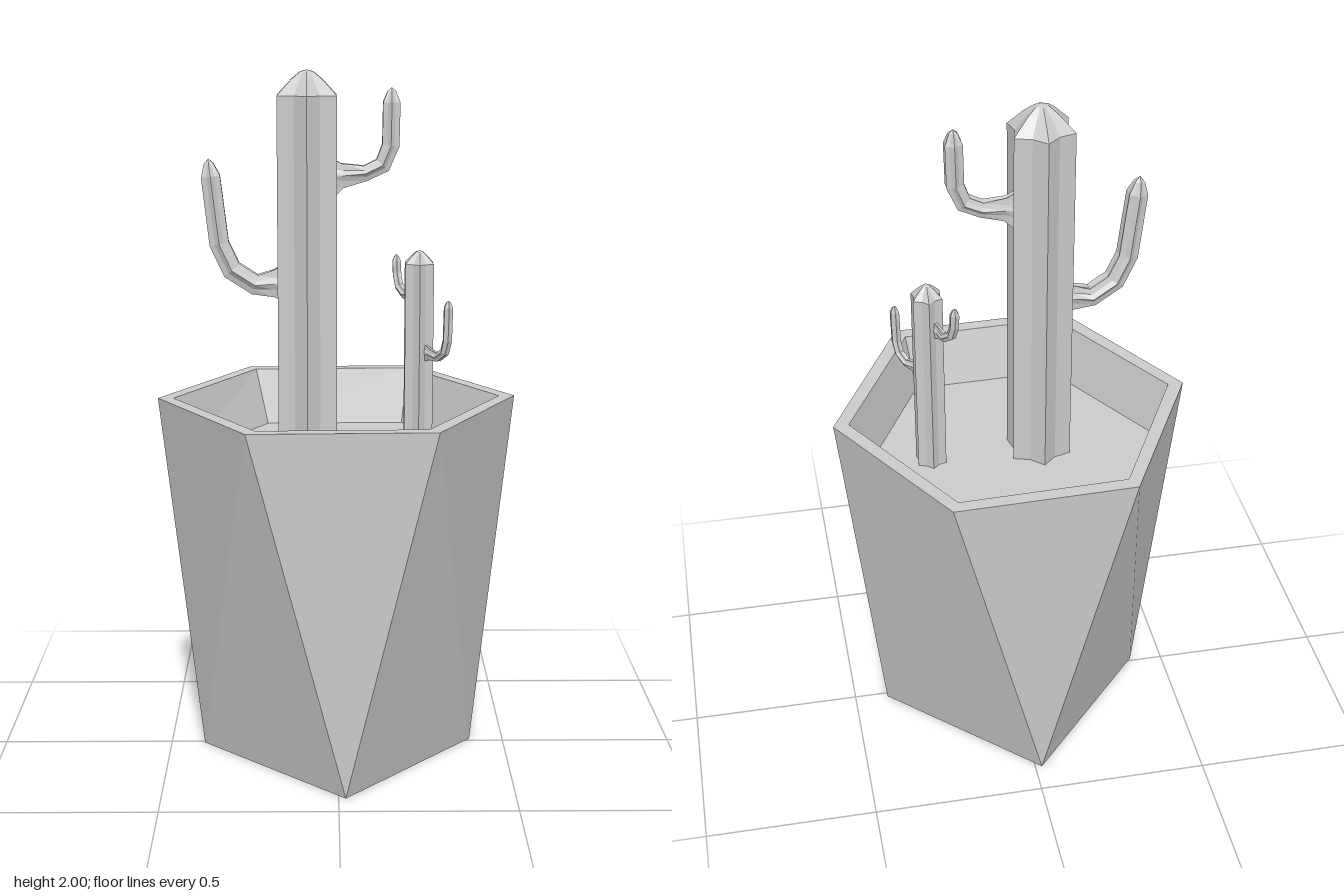
import * as THREE from 'three';

const material = new THREE.MeshStandardMaterial({ color: 0xcccccc, flatShading: true });

// Mesh from a list of triangle corners (Vector3)
function facetMesh(name, corners) {
  const geometry = new THREE.BufferGeometry().setFromPoints(corners);
  geometry.computeVertexNormals();
  const mesh = new THREE.Mesh(geometry, material);
  mesh.name = name;
  return mesh;
}

const quad = (a, b, c, d) => [a, b, c, a, c, d];
const ring = (points, y) => points.map(([x, z]) => new THREE.Vector3(x, y, z));

// Six-ribbed stem swept along a path in a vertical plane.
// Each station is [outward, height, sideways radius, in-plane radius].
function ribbedStem(name, x, z, heading, stations, valley = 0.75) {
  const out = new THREE.Vector3(Math.cos(heading), 0, Math.sin(heading));
  const side = new THREE.Vector3(-Math.sin(heading), 0, Math.cos(heading));
  const centres = stations.map(([u, y]) => new THREE.Vector3(x, y, z).addScaledVector(out, u));
  const rings = stations.map(([, , rs, rn = rs], i) => {
    const tangent = centres[Math.min(i + 1, centres.length - 1)].clone()
      .sub(centres[Math.max(i - 1, 0)]).normalize();
    const normal = tangent.cross(side);
    return Array.from({ length: 12 }, (_, k) => {
      const a = k * Math.PI / 6, f = k % 2 ? valley : 1;
      return centres[i].clone()
        .addScaledVector(side, Math.cos(a) * rs * f)
        .addScaledVector(normal, Math.sin(a) * rn * f);
    });
  });
  const corners = [];
  for (let i = 0; i < rings.length - 1; i++) {
    for (let k = 0; k < 12; k++) {
      const n = (k + 1) % 12;
      corners.push(...quad(rings[i][k], rings[i][n], rings[i + 1][n], rings[i + 1][k]));
    }
  }
  return facetMesh(name, corners);
}

// Hexagonal rim tapering to a square foot, with triangular side facets
function createPot() {
  const pot = new THREE.Group();
  pot.name = 'pot';
  const rimY = 1.065, soilY = 0.9;
  const top = ring([[0.515, -0.02], [0.27, 0.455], [-0.25, 0.47], [-0.52, 0.01], [-0.27, -0.46], [0.245, -0.475]], rimY);
  const inner = ring([[0.47, -0.017], [0.245, 0.415], [-0.225, 0.43], [-0.475, 0.01], [-0.25, -0.42], [0.225, -0.435]], rimY);
  const soil = ring([[0.427, -0.016], [0.222, 0.374], [-0.205, 0.385], [-0.43, 0.01], [-0.213, -0.38], [0.203, -0.39]], soilY);
  const foot = ring([[0.4, -0.015], [0.02, 0.415], [-0.4, 0.01], [-0.02, -0.41]], 0);

  // foot corner under each rim edge
  const footOf = [0, 1, 2, 2, 3, 0];
  const walls = [], rim = [], inside = [], earth = [];
  for (let i = 0; i < 6; i++) {
    const n = (i + 1) % 6;
    walls.push(top[n], foot[footOf[i]], top[i]);
    if (footOf[i] !== footOf[n]) walls.push(top[n], foot[footOf[n]], foot[footOf[i]]);
    rim.push(...quad(top[n], top[i], inner[i], inner[n]));
    inside.push(...quad(inner[n], inner[i], soil[i], soil[n]));
    if (i > 0 && i < 5) earth.push(soil[0], soil[i + 1], soil[i]);
  }
  pot.add(
    facetMesh('potWalls', walls),
    facetMesh('potBase', quad(...foot)),
    facetMesh('potRim', rim),
    facetMesh('potInside', inside),
    facetMesh('soil', earth),
  );
  return pot;
}

// Upright trunk with a domed top
function createTrunk(name, x, z, r, shoulder, tip) {
  const rise = tip - shoulder;
  return ribbedStem(name, x, z, 0, [
    [0, 0.89, r], [0, shoulder, r],
    [0, shoulder + rise * 0.65, r * 0.5],
    [0, shoulder + rise * 0.93, r * 0.22],
    [0, tip, 0],
  ]);
}

function createTallCactus() {
  const cactus = new THREE.Group();
  cactus.name = 'tallCactus';
  const x = -0.086;
  cactus.add(createTrunk('tallTrunk', x, 0.004, 0.097, 1.93, 2.0));
  // right-hand upper arm, flared where it leaves the trunk
  cactus.add(ribbedStem('upperArm', x, -0.002, 0, [
    [0.06, 1.7, 0.014, 0.075], [0.1, 1.705, 0.016, 0.04], [0.165, 1.712, 0.026, 0.025],
    [0.213, 1.735, 0.027, 0.027], [0.236, 1.79, 0.028, 0.028],
    [0.238, 1.91, 0.028, 0.028], [0.238, 1.94, 0.014, 0.014], [0.238, 1.951, 0],
  ]));
  // left-hand lower arm
  cactus.add(ribbedStem('lowerArm', x, 0.006, Math.PI - 0.04, [
    [0.06, 1.4, 0.016, 0.07], [0.095, 1.4, 0.018, 0.045], [0.15, 1.398, 0.03, 0.033],
    [0.215, 1.44, 0.031, 0.033], [0.25, 1.515, 0.031, 0.032],
    [0.272, 1.705, 0.031, 0.031], [0.277, 1.74, 0.016, 0.016], [0.278, 1.755, 0],
  ]));
  return cactus;
}

function createSmallCactus() {
  const cactus = new THREE.Group();
  cactus.name = 'smallCactus';
  const x = 0.234, z = -0.002;
  cactus.add(createTrunk('smallTrunk', x, z, 0.047, 1.455, 1.492));
  // thin arms to the front and the back: [heading, reach, base height, tip height]
  const arms = [['frontArm', Math.atan2(0.112, 0.077), 0.136, 1.2, 1.365], ['backArm', Math.atan2(-0.102, -0.061), 0.119, 1.36, 1.468]];
  for (const [name, heading, reach, base, tip] of arms) {
    cactus.add(ribbedStem(name, x, z, heading, [
      [0.025, base, 0.008, 0.034], [0.05, base, 0.009, 0.02], [reach - 0.045, base - 0.004, 0.013, 0.014],
      [reach - 0.015, base + 0.016, 0.014], [reach - 0.003, base + 0.05, 0.014],
      [reach, tip - 0.02, 0.014], [reach, tip - 0.005, 0.007], [reach, tip, 0],
    ]));
  }
  return cactus;
}

export function createModel() {
  const model = new THREE.Group();
  model.name = 'pottedCacti';
  model.add(createPot(), createTallCactus(), createSmallCactus());
  return model;
}
